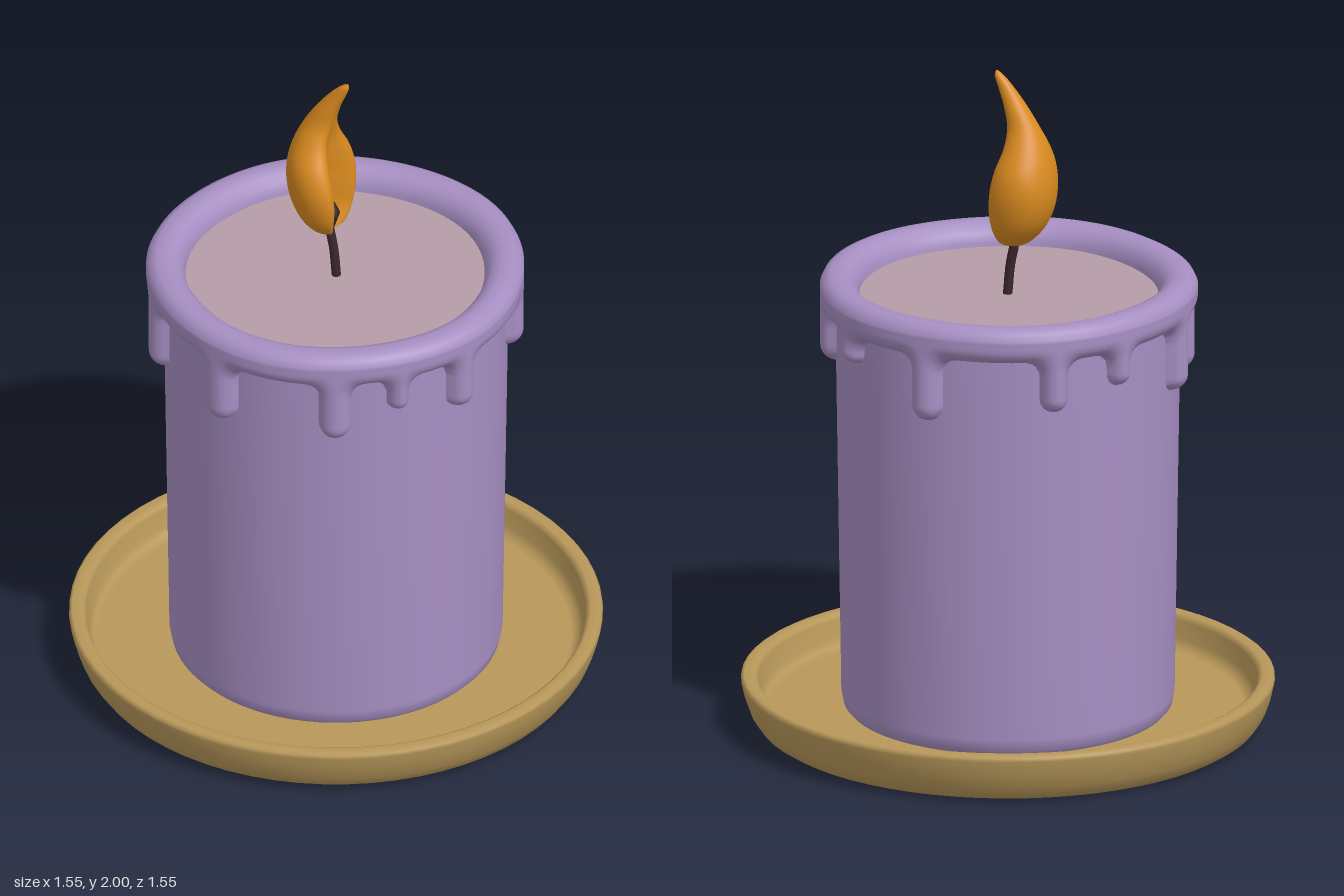
import * as THREE from 'three';

const material = (name, color) => {
  const m = new THREE.MeshStandardMaterial({ color });
  m.name = name;
  return m;
};

// Surface closed around the vertical axis; rows run from top to bottom.
function ringSurface(rows, cols, point) {
  const pos = [], index = [];
  for (let i = 0; i <= rows; i++)
    for (let j = 0; j < cols; j++) pos.push(...point(i, (j / cols) * Math.PI * 2));
  for (let i = 0; i < rows; i++)
    for (let j = 0; j < cols; j++) {
      const a = i * cols + j, r = i * cols + ((j + 1) % cols);
      index.push(a, a + cols, r, r, a + cols, r + cols);
    }
  const g = new THREE.BufferGeometry();
  g.setAttribute('position', new THREE.Float32BufferAttribute(pos, 3));
  g.setIndex(index);
  g.computeVertexNormals();
  return g;
}

const lathe = (points, segments) =>
  new THREE.LatheGeometry(points.map(([x, y]) => new THREE.Vector2(x, y)), segments);

// Drips: angle from the front in degrees, tip height, half width
const DRIPS = [
  [-50, 1.06, 0.05], [-9.5, 1.08, 0.055], [31, 1.09, 0.05], [52, 1.17, 0.035],
  [76, 1.11, 0.045], [117, 1.11, 0.055], [149, 1.19, 0.035], [182, 1.08, 0.05],
  [225, 1.12, 0.042], [249, 1.17, 0.038], [281, 1.08, 0.045],
];

// Depth inside the wax edge: a band blended with rounded drips
function waxDepth(angle, y) {
  let d = y - 1.275;
  for (const [deg, tip, w] of DRIPS) {
    let da = angle - THREE.MathUtils.degToRad(deg);
    da = Math.atan2(Math.sin(da), Math.cos(da)) * 0.53;
    const dy = Math.min(0, y - (tip + w));
    const drip = w - Math.hypot(da, dy);
    const k = 0.055, h = Math.max(0, k - Math.abs(d - drip)) / k;
    d = Math.max(d, drip) + (h * h * k) / 4;
  }
  return d;
}

function meltedWax() {
  const rim = [[0.432, 1.29], [0.436, 1.33], [0.446, 1.357], [0.465, 1.376],
    [0.49, 1.385], [0.52, 1.383], [0.54, 1.372], [0.55, 1.352]];
  const down = 44;
  return ringSurface(rim.length - 1 + down, 360, (i, a) => {
    let r, y;
    if (i < rim.length) [r, y] = rim[i];
    else {
      y = 1.352 - (i - rim.length + 1) * 0.0071;
      const d = waxDepth(a, y);
      const t = 1 - THREE.MathUtils.clamp(d / 0.05, 0, 1);
      r = d > 0 ? 0.497 + 0.053 * Math.sqrt(1 - t * t) : 0.497 + Math.max(-0.025, 2 * d);
    }
    r += 0.003 * Math.sin(a * 5 + 1);
    return [r * Math.sin(a), y, r * Math.cos(a)];
  });
}

function flameShape() {
  // Height, left edge, right edge, half depth, groove depth
  const sections = [
    [2.0, 0.036, 0.04, 0.002, 0], [1.985, 0.015, 0.043, 0.012, 0],
    [1.95, -0.02, 0.03, 0.02, 0], [1.9, -0.06, 0.012, 0.032, 0.005],
    [1.84, -0.1, 0.0, 0.047, 0.01], [1.78, -0.13, 0.012, 0.08, 0.035],
    [1.72, -0.149, 0.045, 0.114, 0.07], [1.66, -0.156, 0.07, 0.126, 0.1],
    [1.6, -0.148, 0.077, 0.121, 0.11], [1.54, -0.12, 0.063, 0.102, 0.1],
    [1.49, -0.072, 0.03, 0.058, 0.05], [1.47, -0.025, -0.015, 0.004, 0],
  ];
  const edges = new THREE.CatmullRomCurve3(sections.map(s => new THREE.Vector3(s[1], s[0], s[2])));
  const depths = new THREE.CatmullRomCurve3(sections.map(s => new THREE.Vector3(s[3], s[0], s[4])));
  const rows = 44;
  return ringSurface(rows, 48, (i, a) => {
    const e = edges.getPoint(i / rows), d = depths.getPoint(i / rows);
    const turn = Math.atan2(Math.sin(a), Math.cos(a));
    const z = -d.x * Math.sin(a);
    const groove = d.z * Math.exp(-((turn / 0.55) ** 2));
    const x = (e.x + e.z) / 2 + ((e.z - e.x) / 2) * Math.cos(a) - groove + 1.5 * d.z * z;
    return [x, e.y, z];
  });
}

export function createModel() {
  const group = new THREE.Group();
  const wax = material('lilac wax', 0xa78fc3);
  const pool = material('pink melted wax', 0xb59ca6);
  const brass = material('tan plate', 0xb8985a);
  const fire = material('orange flame', 0xd98a1f);
  const char = material('charred wick', 0x3b262e);
  const add = (name, geometry, mat, parent = group) => {
    const mesh = new THREE.Mesh(geometry, mat);
    mesh.name = name;
    parent.add(mesh);
    return mesh;
  };

  // Shallow dish with a rounded lip
  add('plate', lathe([
    [0, 0.002], [0.68, 0.002], [0.705, 0.006], [0.73, 0.022], [0.752, 0.055], [0.768, 0.1],
    [0.777, 0.14], [0.776, 0.151], [0.768, 0.157], [0.742, 0.157], [0.732, 0.152],
    [0.727, 0.14], [0.718, 0.09], [0.705, 0.068], [0.685, 0.06], [0, 0.06],
  ], 64), brass);

  // Candle body, slightly wider at the top
  add('candleBody', lathe([[0.46, 0.055], [0.478, 0.075], [0.485, 0.11], [0.5, 1.1], [0.5, 1.34]], 72), wax);
  add('meltedRim', meltedWax(), wax);
  add('waxPool', new THREE.CircleGeometry(0.445, 64).rotateX(-Math.PI / 2).translate(0, 1.32, 0), pool);

  // Wick with a pointed charred tip
  const wick = new THREE.Group();
  wick.name = 'wick';
  group.add(wick);
  const path = new THREE.CatmullRomCurve3([
    new THREE.Vector3(0.002, 1.31, 0), new THREE.Vector3(-0.008, 1.41, 0),
    new THREE.Vector3(-0.022, 1.48, 0), new THREE.Vector3(-0.024, 1.53, 0),
  ]);
  add('wickStem', new THREE.TubeGeometry(path, 16, 0.014, 10), char, wick);
  const tip = add('wickTip', lathe([[0, -0.05], [0.016, -0.04], [0.031, 0.005], [0.02, 0.03], [0, 0.055]], 12), char, wick);
  tip.position.set(-0.022, 1.525, 0);

  // Flame, grooved on one side
  add('flame', flameShape(), fire);
  return group;
}
